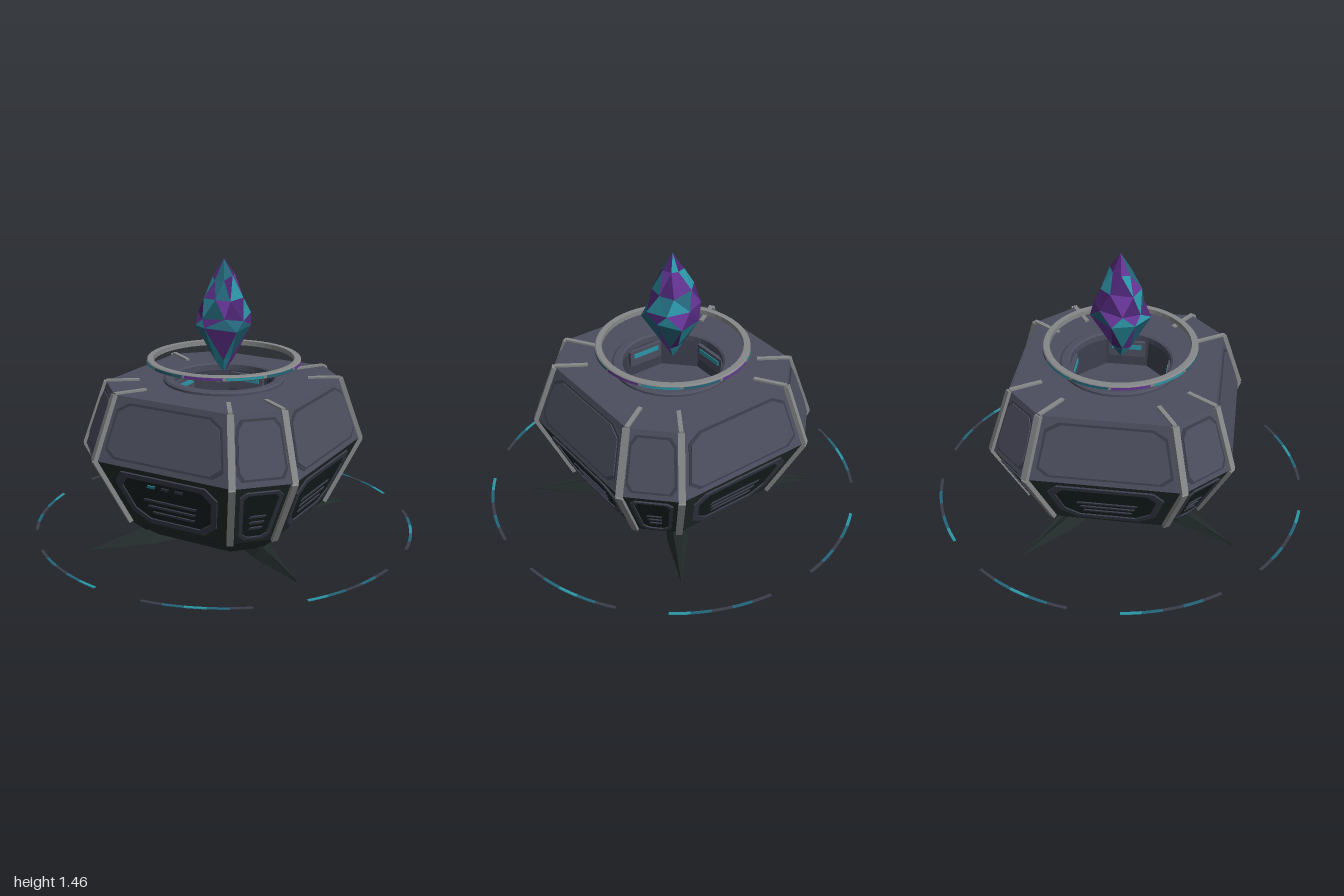
import * as THREE from 'three';

const mat = (name, color, flat = true) => {
  const m = new THREE.MeshStandardMaterial({ color, flatShading: flat });
  m.name = name;
  return m;
};

// Chamfered-square levels: [height, half width, half length of the straight side]
const BASE = [0.04, 0.36, 0.24], SKIRT = [0.13, 0.455, 0.295], WAIST = [0.49, 0.612, 0.395], TOP = [0.82, 0.515, 0.33];

const corners = ([y, h, c]) =>
  [[c, h], [h, c], [h, -c], [c, -h], [-c, -h], [-h, -c], [-h, c], [-c, h]].map(([x, z]) => new THREE.Vector3(x, y, z));

// Flat-sided shell through two or more levels (listed top first it faces inward)
function shell(levels) {
  const pos = [];
  for (let l = 0; l + 1 < levels.length; l++) {
    const lo = corners(levels[l]), hi = corners(levels[l + 1]);
    for (let i = 0; i < 8; i++) {
      const j = (i + 1) % 8;
      for (const p of [lo[i], lo[j], hi[j], lo[i], hi[j], hi[i]]) pos.push(p.x, p.y, p.z);
    }
  }
  const g = new THREE.BufferGeometry();
  g.setAttribute('position', new THREE.Float32BufferAttribute(pos, 3));
  g.computeVertexNormals();
  return g;
}

const polygon = pts => new THREE.Shape(pts.map(p => new THREE.Vector2(p[0], p[1])));
const octagon = (h, c) => polygon(corners([0, h, c]).map(p => [p.x, p.z]));
const plate = (shape, depth) => new THREE.ExtrudeGeometry(shape, { depth, bevelEnabled: false, curveSegments: 32 });

export function createModel() {
  const root = new THREE.Group();
  const slate = mat('slate', 0x4c4e5e), dark = mat('dark green', 0x232c2b), trim = mat('trim', 0x3a3d4a);
  const inset = mat('inset black', 0x182020), steel = mat('steel', 0x868788);
  const teal = mat('teal', 0x2b94a6), deepTeal = mat('deep teal', 0x24657a);
  const purple = mat('purple', 0x643494), deepPurple = mat('deep purple', 0x4a2470);

  const add = (parent, name, geo, material) => {
    const m = new THREE.Mesh(geo, material);
    m.name = name;
    parent.add(m);
    return m;
  };

  // Hull
  add(root, 'lowerHull', shell([BASE, SKIRT, WAIST]), dark);
  add(root, 'upperHull', shell([WAIST, TOP]), slate);
  const deckShape = octagon(TOP[1], TOP[2]);
  deckShape.holes.push(new THREE.Path().absarc(0, 0, 0.28, 0, Math.PI * 2, true));
  const deck = add(root, 'deck', new THREE.ShapeGeometry(deckShape, 32), slate);
  deck.rotation.x = -Math.PI / 2;
  deck.position.y = TOP[0];

  // Underside with framed hatch
  const under = new THREE.Group();
  under.name = 'underside';
  under.rotation.x = Math.PI / 2;
  under.position.y = BASE[0];
  root.add(under);
  add(under, 'bottomPlate', new THREE.ShapeGeometry(octagon(BASE[1], BASE[2])), dark);
  const hatchFrame = octagon(0.29, 0.18);
  hatchFrame.holes.push(octagon(0.25, 0.155));
  add(under, 'hatchFrame', plate(hatchFrame, 0.008), inset);
  add(under, 'hatch', plate(octagon(0.13, 0.08), 0.008), trim);

  // Sloped face k between two levels: local x across, y up the slope, z outward
  function face(k, lo, hi) {
    const size = ([, h, c]) => k % 2 ? [(h + c) / Math.SQRT2, (h - c) / Math.SQRT2] : [h, c];
    const [d0, w0] = size(lo), [d1, w1] = size(hi);
    const turn = new THREE.Group(), g = new THREE.Group();
    turn.name = 'hullFace';
    turn.rotation.y = k * Math.PI / 4;
    g.position.set(0, lo[0], d0);
    g.rotation.x = Math.atan2(d1 - d0, hi[0] - lo[0]);
    turn.add(g);
    root.add(turn);
    const len = Math.hypot(d1 - d0, hi[0] - lo[0]);
    // Corner-cut outline following the taper of the face
    const outline = (side, end, cx, cy) => {
      const w = y => w0 + (w1 - w0) * y / len - side, a = end, b = len - end;
      return polygon([[-w(a) + cx, a], [w(a) - cx, a], [w(a + cy), a + cy], [w(b - cy), b - cy],
        [w(b) - cx, b], [-w(b) + cx, b], [-w(b - cy), b - cy], [-w(a + cy), a + cy]]);
    };
    return { g, len, outline };
  }

  for (let k = 0; k < 8; k++) {
    const wide = k % 2 === 0;
    // Lower framed vent panel
    const low = face(k, SKIRT, WAIST);
    const side = wide ? 0.075 : 0.04, cut = wide ? 0.07 : 0.03, band = wide ? 0.032 : 0.018;
    const frame = low.outline(side, 0.03, cut, cut);
    frame.holes.push(low.outline(side + band, 0.03 + band, cut * 0.85, cut * 0.85));
    add(low.g, 'ventFrame', plate(frame, 0.009), trim);
    add(low.g, 'ventBack', plate(low.outline(side + band, 0.03 + band, cut * 0.85, cut * 0.85), 0.002), inset);
    const w = wide ? 0.15 : 0.04;
    for (let i = 0; i < 3; i++) {
      const s = w * (0.85 + i * 0.1), y = 0.105 + i * 0.042;
      add(low.g, 'ventSlat', plate(polygon([[-s, y], [s - 0.01, y], [s, y + 0.014], [-s + 0.01, y + 0.014]]), 0.008), trim);
    }
    // Status lights on the front
    if (k === 0) for (let i = 0; i < 3; i++) {
      const x = -0.11 + i * 0.08;
      add(low.g, 'statusLight', plate(polygon([[x, 0.285], [x + 0.045, 0.285], [x + 0.055, 0.303], [x + 0.01, 0.303]]), 0.006), i ? trim : teal);
    }
    // Upper armour panel with a thin border
    const up = face(k, WAIST, TOP);
    const m = wide ? 0.055 : 0.035, c = wide ? 0.06 : 0.025;
    const border = up.outline(m - 0.012, 0.028, c, 0.04);
    border.holes.push(up.outline(m, 0.04, c, 0.04));
    add(up.g, 'armourBorder', plate(border, 0.004), trim);
    add(up.g, 'armourPanel', plate(up.outline(m, 0.04, c, 0.04), 0.009), slate);
  }

  // Steel ribs along the hull corners and over the deck
  const beam = (name, a, b, width, thick, up) => {
    const m = new THREE.Mesh(new THREE.BoxGeometry(width, thick, a.distanceTo(b)), steel);
    m.name = name;
    m.up.copy(up);
    m.position.copy(a).lerp(b, 0.5);
    m.lookAt(b);
    root.add(m);
  };
  const [skirt, waist, top] = [SKIRT, WAIST, TOP].map(corners);
  for (let i = 0; i < 8; i++) {
    const out = new THREE.Vector3(waist[i].x, 0, waist[i].z).normalize();
    const inner = top[i].clone().multiplyScalar(0.72).setY(TOP[0]);
    beam('lowerRib', skirt[i], waist[i], 0.034, 0.026, out);
    beam('upperRib', waist[i], top[i], 0.034, 0.026, out);
    beam('deckRib', top[i], inner, 0.022, 0.02, new THREE.Vector3(0, 1, 0));
  }

  // Collar and recess in the deck
  const collar = [[0.262, 0.80], [0.315, 0.80], [0.315, 0.832], [0.305, 0.84], [0.272, 0.84], [0.262, 0.832], [0.262, 0.80]];
  add(root, 'collar', new THREE.LatheGeometry(collar.map(p => new THREE.Vector2(...p)), 40), slate);
  add(root, 'recessWall', shell([[0.82, 0.27, 0.12], [0.64, 0.25, 0.11]]), trim);
  const floor = add(root, 'recessFloor', new THREE.ShapeGeometry(octagon(0.25, 0.11)), slate);
  floor.rotation.x = -Math.PI / 2;
  floor.position.y = 0.64;
  for (let k = 0; k < 4; k++) {
    const g = new THREE.Group();
    g.name = 'recessLight';
    g.rotation.y = k * Math.PI / 2;
    root.add(g);
    add(g, 'lightHousing', new THREE.BoxGeometry(0.2, 0.09, 0.02), slate).position.set(0, 0.745, 0.252);
    add(g, 'lightStrip', new THREE.BoxGeometry(0.16, 0.025, 0.006), teal).position.set(0, 0.76, 0.24);
  }

  // Floating ring with glowing bands
  const hoop = [[0.365, 0.917], [0.395, 0.917], [0.4, 0.922], [0.4, 0.938], [0.395, 0.943], [0.365, 0.943], [0.365, 0.917]];
  add(root, 'floatingRing', new THREE.LatheGeometry(hoop.map(p => new THREE.Vector2(...p)), 48), steel);
  for (let i = 0; i < 12; i++) {
    const band = new THREE.CylinderGeometry(0.4025, 0.4025, 0.014, 6, 1, true, i * Math.PI / 6 + 0.02, Math.PI / 6 - 0.04);
    add(root, 'ringBand', band, [purple, teal, deepTeal][i % 3]).position.y = 0.93;
  }

  // Faceted crystal, its faces split between four colours
  const rows = [[0.86, 0], [0.94, 0.055], [1.11, 0.152], [1.17, 0.135], [1.26, 0.105], [1.36, 0.058], [1.455, 0]];
  const N = 7;
  let seed = 11;
  const rnd = () => (seed = (seed * 16807) % 2147483647) / 2147483647;
  const loops = rows.map(([y, r], l) => Array.from({ length: N }, (_, i) => {
    const a = (i + l * 0.5 + (rnd() - 0.5) * 0.35) / N * Math.PI * 2, q = r * (0.93 + rnd() * 0.13);
    return [Math.sin(a) * q, y + (r ? (rnd() - 0.5) * 0.035 : 0), Math.cos(a) * q];
  }));
  const tris = [[], [], [], []];
  for (let l = 0; l + 1 < rows.length; l++) for (let i = 0; i < N; i++) {
    const j = (i + 1) % N, a = loops[l], b = loops[l + 1];
    if (l > 0) tris[Math.floor(rnd() * 4)].push(...a[i], ...a[j], ...b[i]);
    if (l + 2 < rows.length) tris[Math.floor(rnd() * 4)].push(...a[j], ...b[j], ...b[i]);
  }
  [purple, teal, deepTeal, deepPurple].forEach((m, i) => {
    const g = new THREE.BufferGeometry();
    g.setAttribute('position', new THREE.Float32BufferAttribute(tris[i], 3));
    g.computeVertexNormals();
    add(root, 'crystalFacets', g, m);
  });

  // Four clawed feet, slightly swirled from the diagonals
  const spike = polygon([[0.28, -0.055], [0.45, -0.055], [0.77, 0], [0.45, 0.055], [0.28, 0.055]]);
  for (let k = 0; k < 4; k++) {
    const geo = plate(spike, 0.075).rotateX(-Math.PI / 2);
    const p = geo.attributes.position;
    // Pinch the upper face into a ridge that falls to the tip
    for (let i = 0; i < p.count; i++) if (p.getY(i) > 0.01) {
      p.setY(i, p.getX(i) > 0.7 ? 0.008 : 0.07);
      p.setZ(i, p.getZ(i) * 0.45);
    }
    geo.computeVertexNormals();
    const foot = add(root, 'foot', geo, dark);
    foot.rotation.y = -0.58 + k * Math.PI / 2;
  }

  // Broken ring on the ground: eight arcs, each in coloured pieces
  for (let k = 0; k < 8; k++) for (let i = 0; i < 5; i++) {
    const a = (7.5 + 45 * k + 6 * i) * Math.PI / 180, b = a + 6 * Math.PI / 180;
    const s = new THREE.Shape().absarc(0, 0, 1.009, a, b, false).absarc(0, 0, 0.993, b, a, true);
    const arc = add(root, 'groundArc', new THREE.ExtrudeGeometry(s, { depth: 0.004, bevelEnabled: false, curveSegments: 4 }),
      i % 2 ? deepTeal : [trim, teal, trim][(i / 2 + k) % 3]);
    arc.rotation.x = -Math.PI / 2;
    arc.position.y = 0.024;
  }
  return root;
}
